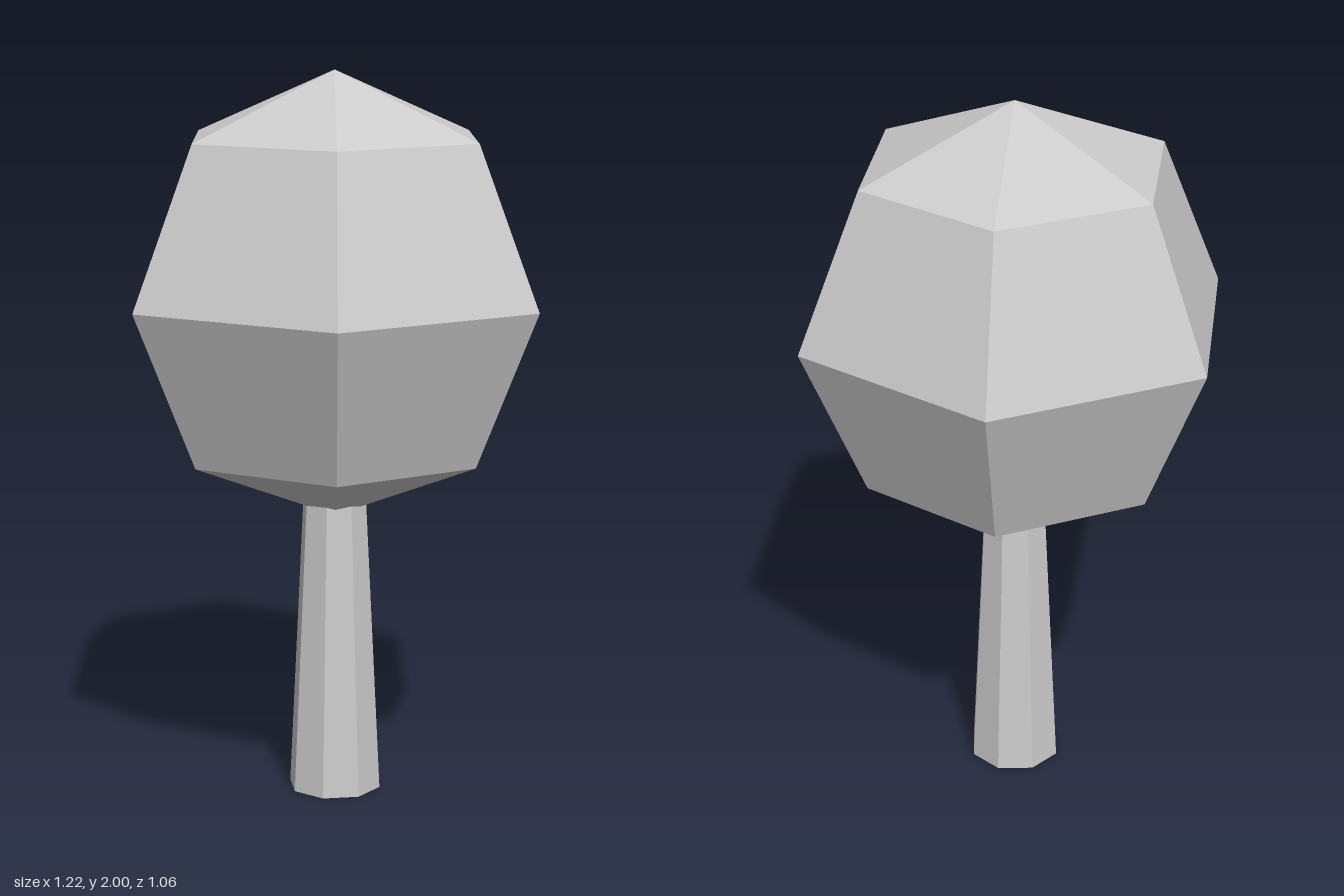
import * as THREE from 'three';

export function createModel() {
  const model = new THREE.Group();
  model.name = 'tree';

  const paleGrey = new THREE.MeshStandardMaterial({ color: 0xcccccc, flatShading: true });
  paleGrey.name = 'paleGrey';

  function addPart(name, geometry, y) {
    const mesh = new THREE.Mesh(geometry, paleGrey);
    mesh.name = name;
    mesh.position.y = y;
    model.add(mesh);
  }

  // Tapered eight-sided trunk, its top sunk into the crown
  const trunkHeight = 0.87;
  addPart('trunk', new THREE.CylinderGeometry(0.087, 0.13, trunkHeight, 8), trunkHeight / 2);

  // Faceted six-sided crown
  const crownRadius = 0.61;
  addPart('crown', new THREE.SphereGeometry(crownRadius, 6, 4), 2 - crownRadius);

  return model;
}
